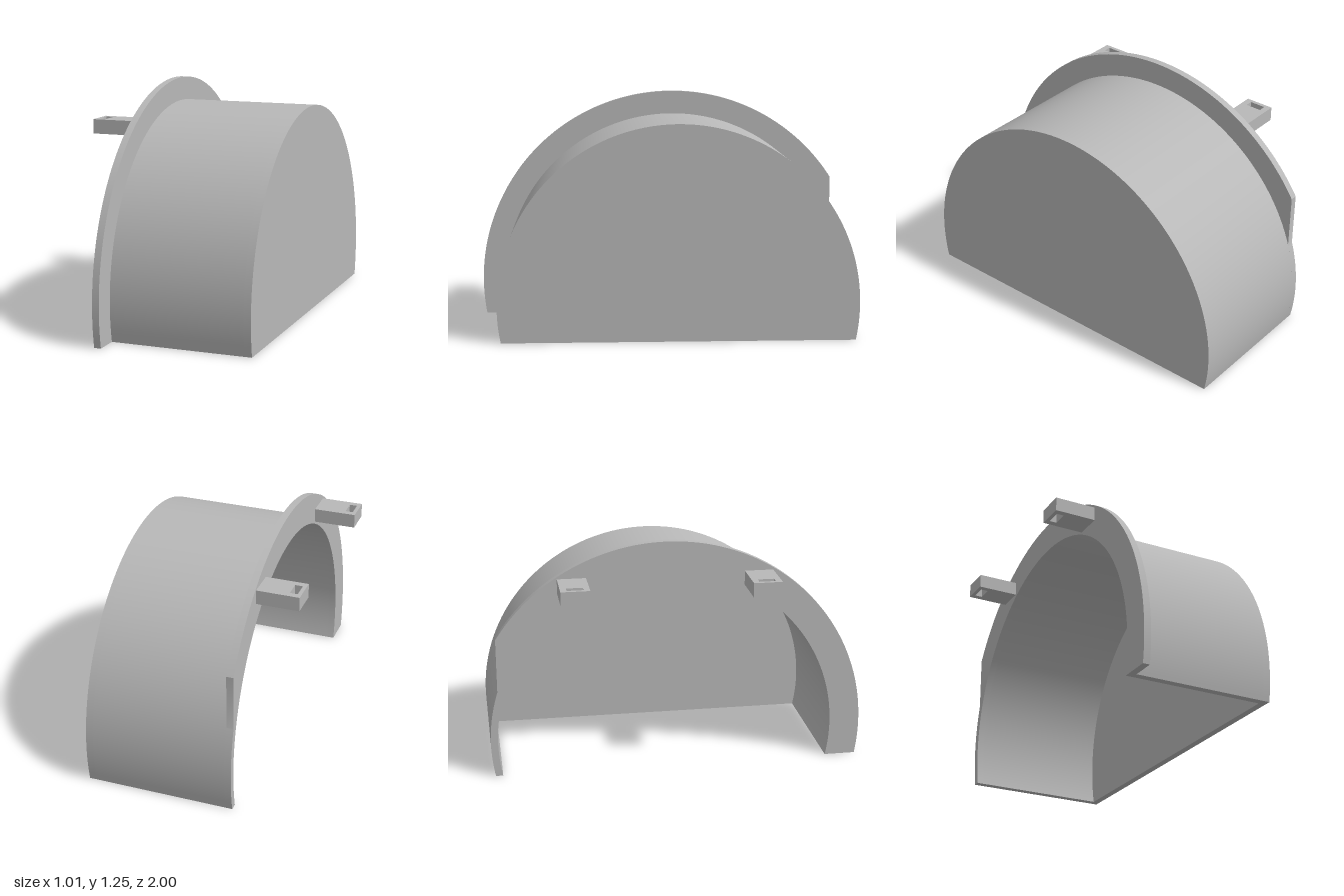
import * as THREE from 'three';
import { toCreasedNormals } from 'three/addons/utils/BufferGeometryUtils.js';

// Arch circle centre (u = -z, v = y) and radii
const CU = 0.0625, CV = 0.1875;
const R_FLANGE = 1.0625, R_DRUM = 0.9375, R_INNER = 0.9;
const X_FLANGE = -0.282, X_DRUM = -0.245, X_END = 0.505, WALL = 0.0375;
const BACK_CUT = 0.955;

export function createModel() {
  const model = new THREE.Group();
  const grey = new THREE.MeshStandardMaterial({ color: 0xb8b8b8 });
  grey.name = 'plain grey';

  const add = (name, geometry) => {
    const mesh = new THREE.Mesh(geometry, grey);
    mesh.name = name;
    model.add(mesh);
    return mesh;
  };

  // Extrude a (-z, y) outline along x from x0 to x1
  const extrudeX = (shape, x0, x1) => {
    const g = new THREE.ExtrudeGeometry(shape, { depth: x1 - x0, bevelEnabled: false, curveSegments: 72 });
    g.rotateY(Math.PI / 2).translate(x0, 0, 0);
    return toCreasedNormals(g, 0.4);
  };

  // Angle at which a circle of radius r meets the ground
  const ground = (r) => Math.asin(-CV / r);
  const arch = (shape, r) => shape.absarc(CU, CV, r, ground(r), Math.PI - ground(r), false);
  const archBack = (shape, r) => shape.absarc(CU, CV, r, Math.PI - ground(r), ground(r), true);

  // Curved drum wall, open underneath
  const wall = new THREE.Shape();
  arch(wall, R_DRUM);
  archBack(wall, R_INNER);
  wall.closePath();
  add('drumWall', extrudeX(wall, X_DRUM, X_END - WALL));

  // Flat closed end
  const cap = new THREE.Shape();
  arch(cap, R_DRUM);
  cap.closePath();
  add('endPlate', extrudeX(cap, X_END - WALL, X_END));

  // Flange, trimmed straight at the back where it runs into the drum
  const flange = new THREE.Shape();
  const du = BACK_CUT - CU;
  flange.absarc(CU, CV, R_DRUM, ground(R_DRUM), Math.acos(du / R_DRUM), false);
  flange.absarc(CU, CV, R_FLANGE, Math.acos(du / R_FLANGE), Math.PI - ground(R_FLANGE), false);
  archBack(flange, R_INNER);
  flange.closePath();
  add('flange', extrudeX(flange, X_FLANGE, X_DRUM));

  // Two slotted mounting tabs
  const rect = (path, x0, y0, x1, y1) =>
    path.moveTo(x0, y0).lineTo(x1, y0).lineTo(x1, y1).lineTo(x0, y1).closePath();
  const tab = new THREE.Shape();
  rect(tab, -0.505, -0.075, X_FLANGE, 0.075);
  const slot = new THREE.Path();
  rect(slot, -0.485, -0.0425, -0.445, 0.0425);
  tab.holes.push(slot);
  const tabGeometry = new THREE.ExtrudeGeometry(tab, { depth: 0.075, bevelEnabled: false });
  tabGeometry.rotateX(-Math.PI / 2);
  [['frontTab', 0.425], ['backTab', -0.555]].forEach(([name, z]) => {
    add(name, tabGeometry).position.set(0, 1, z);
  });

  return model;
}
